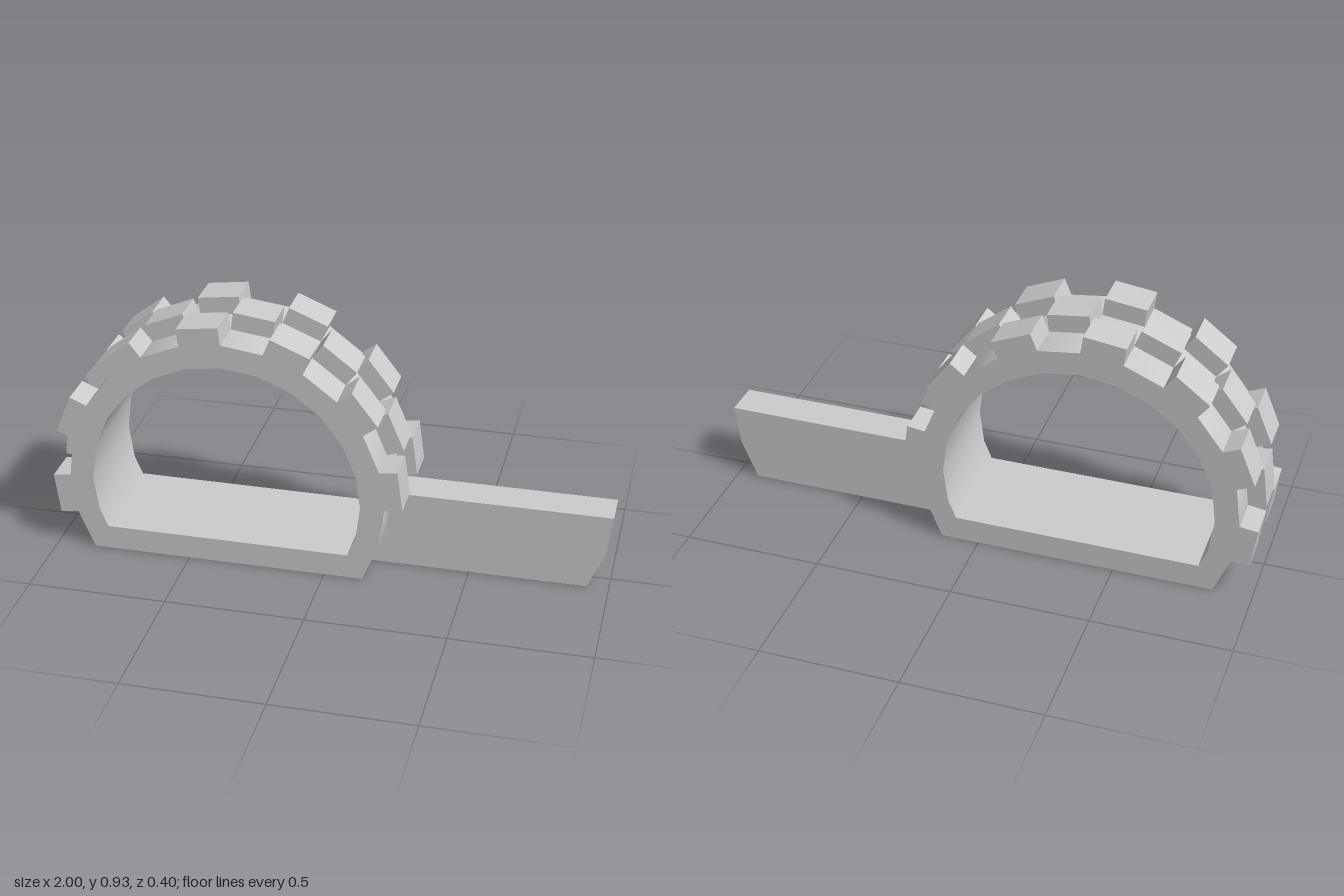
import * as THREE from 'three';
import { toCreasedNormals } from 'three/addons/utils/BufferGeometryUtils.js';

const CX = -0.36, CY = 0.288;      // centre of the arch
const OUTER = 0.576, INNER = 0.49; // radii of the 24-sided ring
const STEP = Math.PI / 12;
const DEPTH = 0.4, BAND = DEPTH / 3;
const TOOTH = 0.065, FLOOR = 0.09, ARM_SHIFT = 0.784;

const material = new THREE.MeshStandardMaterial({ color: 0xcccccc });

// Point on a circle round the arch centre, k steps of 15 degrees from +x
const ringPoint = (r, k) =>
  new THREE.Vector2(CX + r * Math.cos(k * STEP), CY + r * Math.sin(k * STEP));

// Extrude a shape, centred in z, smooth over the shallow facets
function slab(shape, depth, name) {
  const geo = new THREE.ExtrudeGeometry(shape, { depth, bevelEnabled: false });
  geo.translate(0, 0, -depth / 2);
  const mesh = new THREE.Mesh(toCreasedNormals(geo, 0.35), material);
  mesh.name = name;
  return mesh;
}

export function createModel() {
  const model = new THREE.Group();
  model.name = 'treadedArchWithArm';

  // Arch: faceted ring cut flat at the ground, with a flat-floored opening
  const outline = [];
  for (let k = -2; k <= 14; k++) outline.push(ringPoint(OUTER, k));
  outline[0].y = outline[16].y = 0;
  const opening = [];
  for (let k = -1; k <= 13; k++) opening.push(ringPoint(INNER, k));
  const a = ringPoint(INNER, -1), b = ringPoint(INNER, -2);
  const corner = a.clone().lerp(b, (a.y - FLOOR) / (a.y - b.y));
  opening.unshift(corner);
  opening.push(new THREE.Vector2(2 * CX - corner.x, FLOOR));
  const archShape = new THREE.Shape(outline);
  archShape.holes.push(new THREE.Path(opening));
  model.add(slab(archShape, DEPTH, 'arch'));

  // Tread blocks: one per facet, alternating outer bands and middle band
  const treads = new THREE.Group();
  treads.name = 'treads';
  const width = 2 * OUTER * Math.sin(STEP / 2);
  const middle = OUTER * Math.cos(STEP / 2) + TOOTH / 2;
  const blockGeo = new THREE.BoxGeometry(TOOTH, width, BAND);
  for (let k = 0; k <= 12; k++) {
    const p = ringPoint(middle, k + 0.5);
    for (const z of k % 2 ? [0] : [-BAND, BAND]) {
      const block = new THREE.Mesh(blockGeo, material);
      block.name = z ? 'sideTread' : 'middleTread';
      block.position.set(p.x, p.y, z);
      block.rotation.z = (k + 0.5) * STEP;
      treads.add(block);
    }
  }
  model.add(treads);

  // Arm: the lower right edge of the ring swept outwards along x
  const edge = [0, -1, -2].map((k) => ringPoint(OUTER, k));
  edge[2].y = 0;
  const far = edge.map((p) => new THREE.Vector2(p.x + ARM_SHIFT, p.y));
  model.add(slab(new THREE.Shape([...edge, ...far.reverse()]), BAND, 'arm'));

  return model;
}
